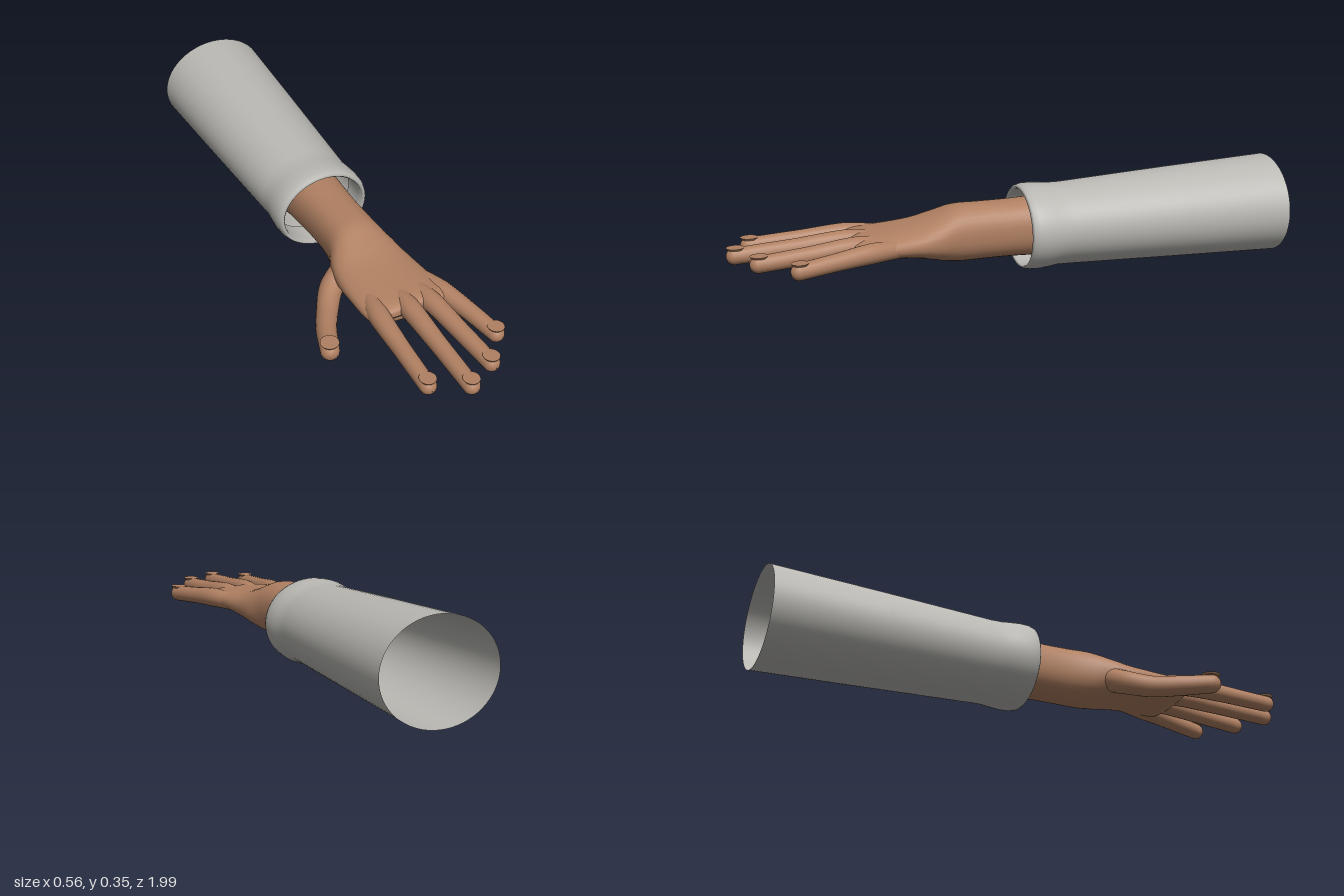
import * as THREE from 'three';

const skin = new THREE.MeshStandardMaterial({ color: 0xb08062 });
skin.name = 'skin';
const cloth = new THREE.MeshStandardMaterial({ color: 0xb9b8b3, side: THREE.DoubleSide });
cloth.name = 'cloth';

// Skin over rings: each ring has a centre, half width, half height and a heading
function loft(rings, sides, power = 1) {
  const pos = [], index = [];
  const bend = v => Math.sign(v) * Math.abs(v) ** power;
  for (const { c, w, h, dir } of rings) {
    const right = new THREE.Vector3(0, 1, 0).cross(dir).normalize();
    const up = dir.clone().cross(right);
    for (let i = 0; i < sides; i++) {
      const a = (i / sides) * Math.PI * 2;
      const p = c.clone().addScaledVector(right, bend(Math.cos(a)) * w).addScaledVector(up, bend(Math.sin(a)) * h);
      pos.push(p.x, p.y, p.z);
    }
  }
  for (let r = 0; r < rings.length - 1; r++) {
    for (let i = 0; i < sides; i++) {
      const j = (i + 1) % sides, a = r * sides, b = a + sides;
      index.push(a + i, a + j, b + j, a + i, b + j, b + i);
    }
  }
  const g = new THREE.BufferGeometry();
  g.setAttribute('position', new THREE.Float32BufferAttribute(pos, 3));
  g.setIndex(index);
  g.computeVertexNormals();
  return g;
}

const forward = new THREE.Vector3(0, 0, 1);
// Ring from its extents: z, left and right x, bottom and top y
const ring = ([z, x0, x1, y0, y1]) => ({
  c: new THREE.Vector3((x0 + x1) / 2, (y0 + y1) / 2, z), w: (x1 - x0) / 2, h: (y1 - y0) / 2, dir: forward,
});

function add(group, name, geometry, material) {
  const m = new THREE.Mesh(geometry, material);
  m.name = name;
  group.add(m);
  return m;
}

// Finger: points are [x, y, z, radius]; closed by a round tip
function fingerGeometry(points) {
  const curve = new THREE.CatmullRomCurve3(points.map(p => new THREE.Vector3(p[0], p[1], p[2])));
  const rings = [], n = 20;
  for (let i = 0; i <= n; i++) {
    const t = i / n, f = t * (points.length - 1), k = Math.min(Math.floor(f), points.length - 2);
    const r = THREE.MathUtils.lerp(points[k][3], points[k + 1][3], f - k);
    rings.push({ c: curve.getPoint(t), w: r, h: r, dir: curve.getTangent(t) });
  }
  const end = rings[n];
  for (let i = 1; i <= 7; i++) {
    const a = (i / 7) * Math.PI / 2, r = Math.max(end.w * Math.cos(a), 0.0005);
    rings.push({ c: end.c.clone().addScaledVector(end.dir, end.w * Math.sin(a)), w: r, h: r, dir: end.dir });
  }
  return loft(rings, 18);
}

export function createModel() {
  const model = new THREE.Group();
  model.name = 'sleevedArm';

  // Tapered sleeve with a rolled cuff that turns back inside
  const sleeve = [
    [-1, -0.159, 0.251, 0.001, 0.355],
    [-0.6, -0.143, 0.235, 0.01, 0.334],
    [-0.2, -0.126, 0.218, 0.02, 0.311],
    [-0.16, -0.126, 0.218, 0.02, 0.311],
    [-0.13, -0.13, 0.222, 0.016, 0.314],
    [-0.09, -0.133, 0.225, 0.012, 0.317],
    [-0.06, -0.131, 0.223, 0.013, 0.316],
    [-0.042, -0.125, 0.217, 0.017, 0.311],
    [-0.035, -0.117, 0.209, 0.022, 0.304],
    [-0.042, -0.11, 0.202, 0.026, 0.298],
    [-0.07, -0.107, 0.199, 0.028, 0.296],
    [-0.14, -0.108, 0.2, 0.028, 0.297],
  ].map(ring);
  add(model, 'sleeve', loft(sleeve, 64), cloth);

  // Forearm, wrist and palm in one skin, smoothed between key sections
  const keys = [
    [-0.305, 0.046, 0.048, 0.166, 0.168],
    [-0.3, -0.07, 0.163, 0.056, 0.279],
    [-0.15, -0.056, 0.152, 0.06, 0.274],
    [0, -0.045, 0.145, 0.066, 0.268],
    [0.12, -0.046, 0.146, 0.066, 0.267],
    [0.2, -0.06, 0.152, 0.066, 0.264],
    [0.27, -0.088, 0.17, 0.078, 0.24],
    [0.34, -0.1, 0.183, 0.096, 0.218],
    [0.43, -0.103, 0.196, 0.11, 0.206],
    [0.51, -0.102, 0.21, 0.116, 0.2],
    [0.555, -0.096, 0.216, 0.122, 0.195],
    [0.58, -0.08, 0.2, 0.135, 0.183],
    [0.585, -0.06, 0.18, 0.158, 0.16],
  ];
  const rings = [];
  const low = keys.map(k => new THREE.Vector3(k[1], k[3], k[0]));
  const high = keys.map(k => new THREE.Vector3(k[2], k[4], k[0]));
  const lowCurve = new THREE.CatmullRomCurve3(low), highCurve = new THREE.CatmullRomCurve3(high);
  const steps = (keys.length - 1) * 4;
  for (let i = 0; i <= steps; i++) {
    const a = lowCurve.getPoint(i / steps), b = highCurve.getPoint(i / steps);
    rings.push(ring([(a.z + b.z) / 2, a.x, b.x, a.y, b.y]));
  }
  add(model, 'armAndPalm', loft(rings, 36, 0.88), skin);

  // Fingers and thumb, each with a nail near the tip
  const digits = {
    indexFinger: [[-0.04, 0.158, 0.42, 0.03], [-0.062, 0.164, 0.56, 0.037], [-0.07, 0.156, 0.72, 0.031], [-0.076, 0.145, 0.9, 0.029]],
    middleFinger: [[0.045, 0.158, 0.42, 0.03], [0.044, 0.17, 0.58, 0.037], [0.044, 0.16, 0.76, 0.031], [0.044, 0.148, 0.965, 0.029]],
    ringFinger: [[0.1, 0.158, 0.42, 0.03], [0.126, 0.167, 0.57, 0.036], [0.142, 0.157, 0.73, 0.031], [0.157, 0.146, 0.903, 0.029]],
    littleFinger: [[0.15, 0.155, 0.4, 0.03], [0.19, 0.158, 0.53, 0.036], [0.222, 0.15, 0.65, 0.031], [0.251, 0.138, 0.784, 0.029]],
    thumb: [[-0.04, 0.145, 0.27, 0.045], [-0.105, 0.112, 0.305, 0.042], [-0.16, 0.088, 0.38, 0.038], [-0.205, 0.087, 0.46, 0.036], [-0.248, 0.096, 0.568, 0.033]],
  };
  for (const [name, points] of Object.entries(digits)) {
    const digit = new THREE.Group();
    digit.name = name;
    add(digit, name + 'Skin', fingerGeometry(points), skin);
    const [x, y, z, r] = points[points.length - 1], before = points[points.length - 2];
    const nail = add(digit, name + 'Nail', new THREE.CylinderGeometry(1, 0.85, 0.007, 24), skin);
    nail.scale.set(r * 0.98, 1, r * 1.05);
    nail.position.set(x, y + r * 0.93, z - 0.003);
    nail.rotation.y = Math.atan2(x - before[0], z - before[2]);
    model.add(digit);
  }
  return model;
}
